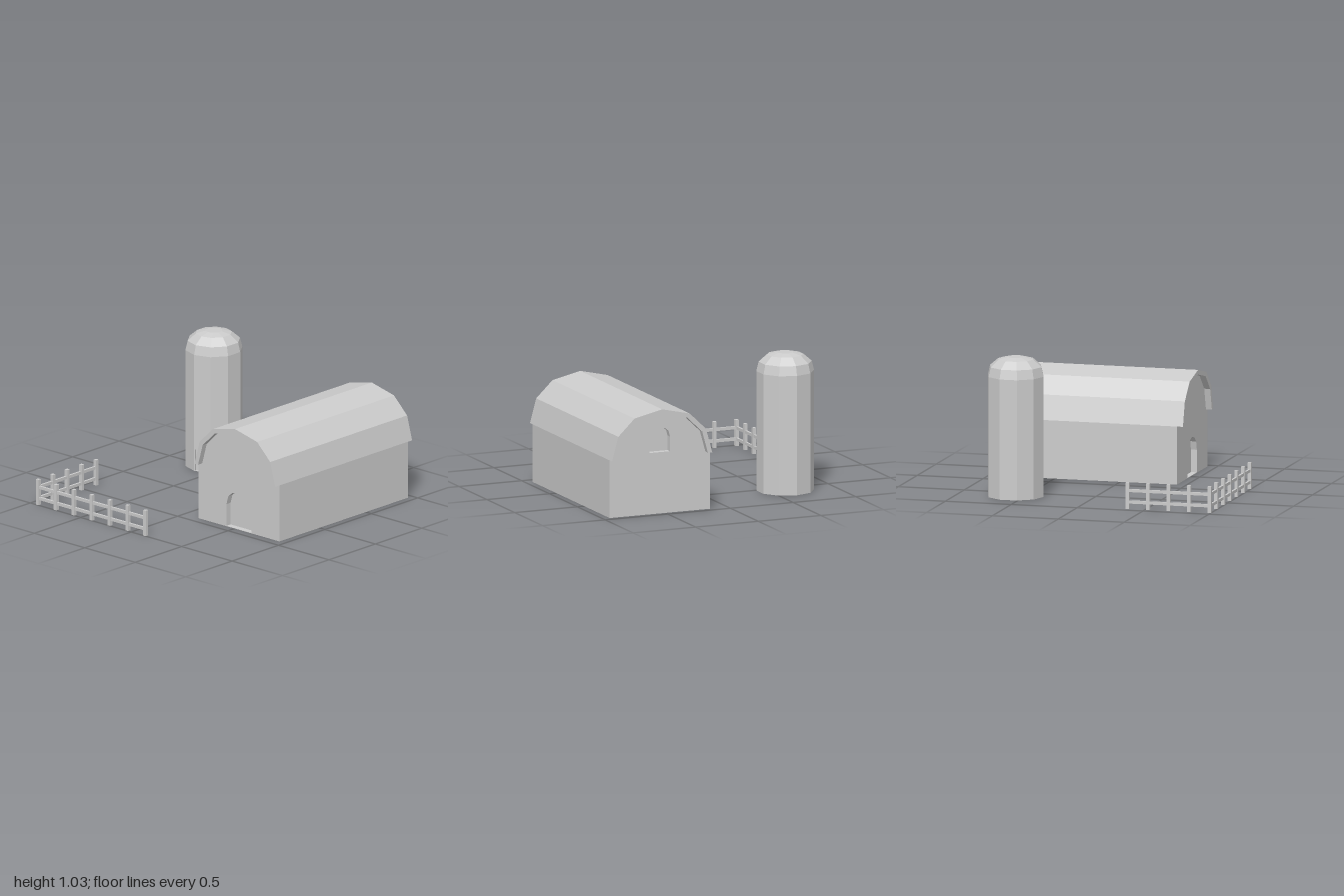
import * as THREE from 'three';

const grey = new THREE.MeshStandardMaterial({ color: 0xcccccc, flatShading: true, side: THREE.DoubleSide });

function add(parent, name, geometry, x = 0, y = 0, z = 0) {
  const mesh = new THREE.Mesh(geometry, grey);
  mesh.name = name;
  mesh.position.set(x, y, z);
  parent.add(mesh);
  return mesh;
}

const toShape = (pts) => new THREE.Shape(pts.map(([x, y]) => new THREE.Vector2(x, y)));

// Mirrors the left half of an outline whose last point lies on x = 0
const mirrored = (half) => [...half, ...half.slice(0, -1).reverse().map(([x, y]) => [-x, y])];

// Strip of flat quads around a closed outline, running from z = 0 back to z = -depth
function ribbon(pts, depth) {
  const pos = [];
  pts.forEach(([ax, ay], i) => {
    const [bx, by] = pts[(i + 1) % pts.length];
    pos.push(ax, ay, 0, bx, by, 0, bx, by, -depth, ax, ay, 0, bx, by, -depth, ax, ay, -depth);
  });
  const g = new THREE.BufferGeometry();
  g.setAttribute('position', new THREE.Float32BufferAttribute(pos, 3));
  g.computeVertexNormals();
  return g;
}

// Flat wall facing +z with one opening sunk into it
function wallWithRecess(name, outline, opening, depth, recessName) {
  const group = new THREE.Group();
  group.name = name;
  const wall = toShape(outline);
  wall.holes.push(toShape(opening));
  add(group, name + 'Panel', new THREE.ShapeGeometry(wall));
  add(group, recessName + 'Jamb', ribbon(opening, depth));
  add(group, recessName, new THREE.ShapeGeometry(toShape(opening)), 0, 0, -depth);
  return group;
}

function createBarn() {
  const barn = new THREE.Group();
  barn.name = 'barn';
  const eave = 0.43, half = 0.4, front = 0.43, back = -0.955;

  // Arched roof shell, overhanging both gables
  const outer = mirrored([[-half, eave], [-0.35, 0.61], [-0.22, 0.735], [0, 0.785]]);
  const inner = mirrored([[-0.365, eave], [-0.32, 0.59], [-0.2, 0.705], [0, 0.75]]);
  const roof = new THREE.ExtrudeGeometry(toShape([...outer, ...inner.slice().reverse()]),
    { depth: 1.475, bevelEnabled: false });
  add(barn, 'roof', roof, 0, 0, -1);

  // Gables with an arched door in front and a smaller arched window behind
  const arch = mirrored([[-0.125, 0.003], [-0.125, 0.17], [-0.107, 0.235], [-0.066, 0.268], [0, 0.288]]);
  const gable = [[half, 0], [half, eave], ...inner.slice().reverse(), [-half, eave], [-half, 0]];
  const frontGable = wallWithRecess('frontGable', gable, arch, 0.045, 'door');
  frontGable.position.z = front;
  const windowArch = arch.map(([x, y]) => [x * 0.66, 0.455 + y * 0.66]);
  const backGable = wallWithRecess('backGable', gable, windowArch, 0.045, 'window');
  backGable.position.z = back;
  backGable.rotation.y = Math.PI;
  barn.add(frontGable, backGable);

  // Long side walls, open underneath
  for (const side of [-1, 1]) {
    const wall = new THREE.PlaneGeometry(front - back, eave).rotateY(side * Math.PI / 2);
    add(barn, side < 0 ? 'rightWall' : 'leftWall', wall, side * half, eave / 2, (front + back) / 2);
  }
  barn.position.x = 0.545;
  return barn;
}

function createSilo() {
  const silo = new THREE.Group();
  silo.name = 'silo';
  const r = 0.212, h = 0.89, step = Math.PI / 5;

  // Nine plain facets; the tenth holds the hatch
  add(silo, 'siloWall', new THREE.CylinderGeometry(r, r, h, 9, 1, true, step, step * 9), 0, h / 2, 0);
  const w = r * Math.sin(step / 2);
  const facet = wallWithRecess('hatchFacet', [[-w, 0], [w, 0], [w, h], [-w, h]],
    [[-0.057, 0.003], [0.057, 0.003], [0.057, 0.165], [-0.057, 0.165]], 0.015, 'hatch');
  const apothem = r * Math.cos(step / 2);
  facet.rotation.y = step / 2;
  facet.position.set(apothem * Math.sin(step / 2), 0, apothem * Math.cos(step / 2));
  silo.add(facet);

  // Faceted dome with a flat top
  const profile = [[r, h], [0.195, 0.96], [0.134, 1.013], [0.063, 1.03], [0, 1.03]];
  add(silo, 'dome', new THREE.LatheGeometry(profile.map(([x, y]) => new THREE.Vector2(x, y)), 10));
  silo.position.set(-0.627, 0, -0.572);
  return silo;
}

function createFence() {
  const fence = new THREE.Group();
  fence.name = 'fence';
  const x0 = -0.932, x1 = 0.132, z0 = 0.365, z1 = 0.987;
  const post = new THREE.BoxGeometry(0.026, 0.195, 0.026);

  // Posts along the front run, then up the side run
  for (let i = 0; i < 7; i++) add(fence, 'frontPost', post, x0 + (x1 - x0) * i / 6, 0.0975, z1);
  for (let i = 0; i < 4; i++) add(fence, 'sidePost', post, x0, 0.0975, z0 + (z1 - z0) * i / 4);

  // Two rails on each run
  for (const y of [0.05, 0.135]) {
    add(fence, 'frontRail', new THREE.BoxGeometry(x1 - x0, 0.022, 0.016), (x0 + x1) / 2, y, z1);
    add(fence, 'sideRail', new THREE.BoxGeometry(0.016, 0.022, z1 - z0), x0, y, (z0 + z1) / 2);
  }
  return fence;
}

export function createModel() {
  const model = new THREE.Group();
  model.name = 'farmyard';
  model.add(createBarn(), createSilo(), createFence());
  return model;
}
